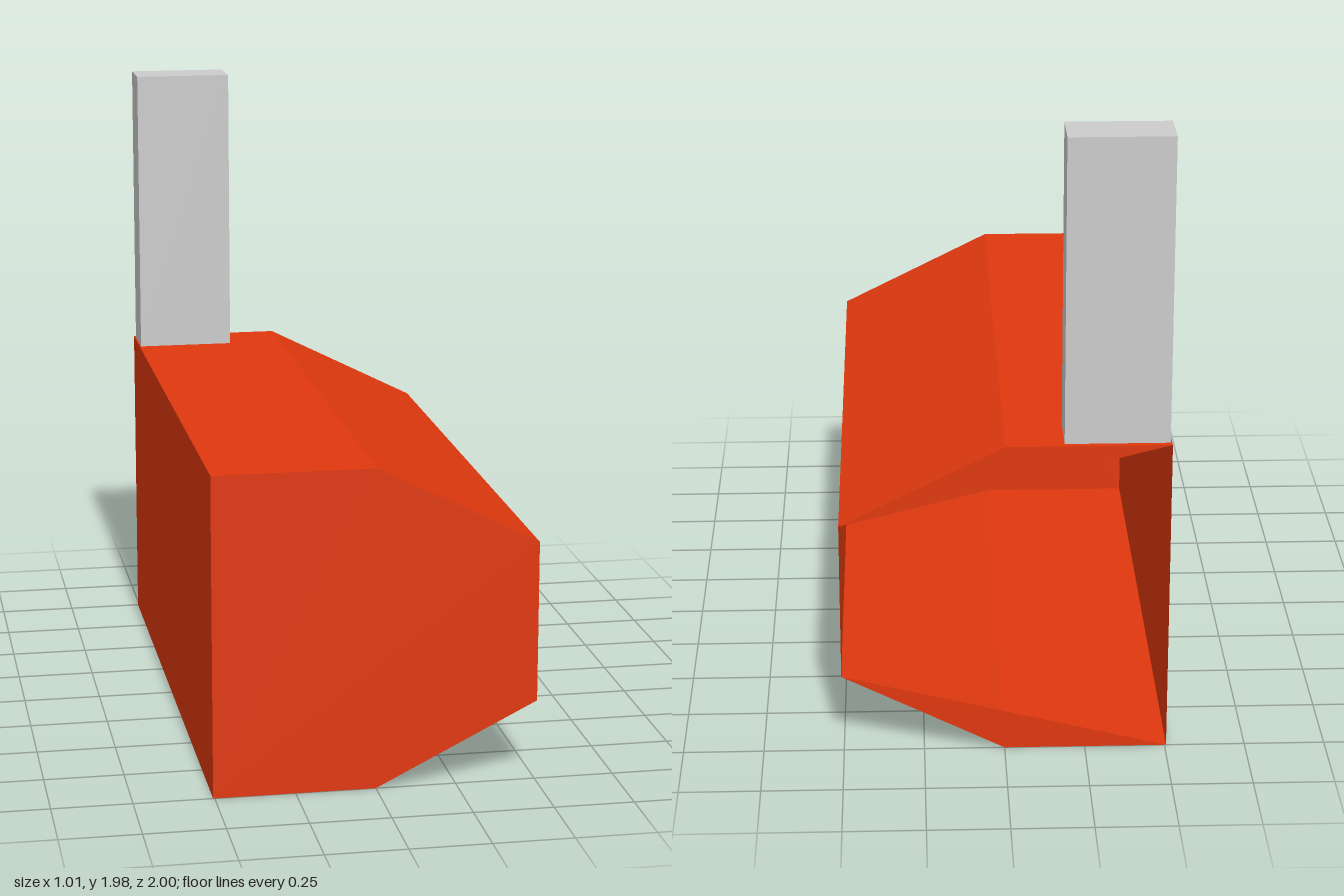
import * as THREE from 'three';

// Flat-shaded surface from convex polygons, each listed counter-clockwise from outside
function polygonGeometry(polygons) {
  const positions = [];
  for (const p of polygons) {
    for (let i = 1; i < p.length - 1; i++) positions.push(...p[0], ...p[i], ...p[i + 1]);
  }
  const geometry = new THREE.BufferGeometry();
  geometry.setAttribute('position', new THREE.Float32BufferAttribute(positions, 3));
  geometry.computeVertexNormals();
  return geometry;
}

export function createModel() {
  const group = new THREE.Group();
  const red = new THREE.MeshStandardMaterial({ color: 0xe0380e, side: THREE.DoubleSide, flatShading: true });
  const grey = new THREE.MeshStandardMaterial({ color: 0xcccccc, flatShading: true });

  const add = (name, geometry, material) => {
    const mesh = new THREE.Mesh(geometry, material);
    mesh.name = name;
    group.add(mesh);
    return mesh;
  };

  // Six-sided hull profile, counter-clockwise seen from the front
  const w = 0.505, top = 1.016;
  const profile = [[-w, 0], [0, 0], [w, 0.254], [w, 0.762], [0, top], [-w, top]];
  const front = profile.map(([x, y]) => [x, y, 1]);
  const back = profile.map(([x, y]) => [x, y, -1]);

  // Thin long walls
  const walls = front.map((p, i) => {
    const j = (i + 1) % front.length;
    return [p, back[i], back[j], front[j]];
  });
  add('hullWalls', polygonGeometry(walls), red);

  // Closed front end
  add('frontCap', polygonGeometry([front]), red);

  // Back end is open between an upper and a lower triangular gusset
  add('backLowerGusset', polygonGeometry([[back[2], back[1], back[0]]]), red);
  add('backUpperGusset', polygonGeometry([[back[5], back[4], back[3]]]), red);

  // Upright post at the back corner
  const postHeight = 1.977 - top;
  add('post', new THREE.BoxGeometry(0.32, postHeight, 0.16), grey)
    .position.set(-0.34, top + postHeight / 2, -0.902);

  return group;
}
